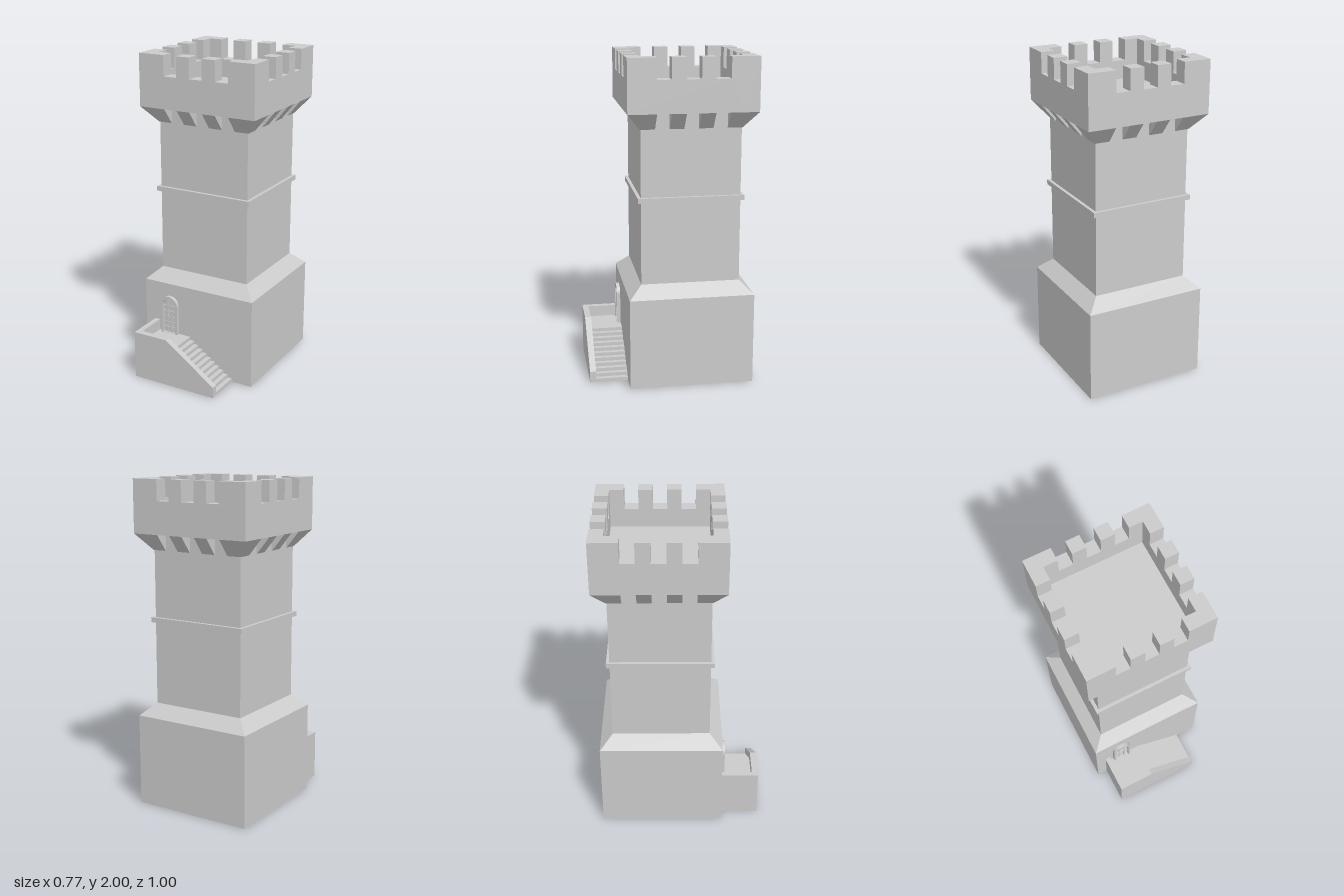
import * as THREE from 'three';

const mat = new THREE.MeshStandardMaterial({ color: 0xcccccc, flatShading: true });
const smoothMat = new THREE.MeshStandardMaterial({ color: 0xcccccc });

function add(parent, name, geometry, material = mat) {
  const mesh = new THREE.Mesh(geometry, material);
  mesh.name = name;
  parent.add(mesh);
  return mesh;
}

// Box between two corners
function block(parent, name, x0, x1, y0, y1, z0, z1) {
  const mesh = add(parent, name, new THREE.BoxGeometry(x1 - x0, y1 - y0, z1 - z0));
  mesh.position.set((x0 + x1) / 2, (y0 + y1) / 2, (z0 + z1) / 2);
  return mesh;
}

// Box whose bottom and top rectangles differ: each is [x0, x1, z0, z1]
function taper(parent, name, y0, y1, bottom, top) {
  const g = new THREE.BoxGeometry(1, 1, 1);
  const p = g.attributes.position;
  for (let i = 0; i < p.count; i++) {
    const upper = p.getY(i) > 0;
    const r = upper ? top : bottom;
    p.setXYZ(i, r[p.getX(i) > 0 ? 1 : 0], upper ? y1 : y0, r[p.getZ(i) > 0 ? 3 : 2]);
  }
  g.computeVertexNormals();
  return add(parent, name, g);
}

function polygon(points) {
  return new THREE.Shape(points.map(([x, y]) => new THREE.Vector2(x, y)));
}

function extrude(shape, depth, curveSegments = 16) {
  return new THREE.ExtrudeGeometry(shape, { depth, bevelEnabled: false, curveSegments });
}

// Round-headed outline standing on y = y0
function archPath(path, r, y0, ySpring) {
  path.moveTo(-r, y0);
  path.lineTo(r, y0);
  path.lineTo(r, ySpring);
  path.absarc(0, ySpring, r, 0, Math.PI, false);
  path.lineTo(-r, y0);
  return path;
}

const S = 0.3;    // half width of shaft
const B = 0.38;   // half width of base
const C = 0.385;  // half width of crown

function buildTower() {
  const tower = new THREE.Group();
  tower.name = 'tower';
  block(tower, 'base', -B, B, 0, 0.565, -B, B);
  taper(tower, 'baseSlope', 0.565, 0.64, [-B, B, -B, B], [-S, S, -S, S]);
  block(tower, 'shaft', -S, S, 0.64, 1.76, -S, S);
  block(tower, 'stringCourse', -0.32, 0.32, 1.145, 1.175, -0.32, 0.32);

  // One crown side, repeated around the axis so the walls interlock at the corners
  const low = 1.875, high = 2;
  const notches = [[-0.215, -0.129], [-0.043, 0.043], [0.129, 0.215]];
  const outline = [[-C, 1.68], [S, 1.68], [S, high]];
  for (const [a, b] of [...notches].reverse()) outline.push([b, high], [b, low], [a, low], [a, high]);
  outline.push([-C, high]);
  const wallGeometry = extrude(polygon(outline), C - S);

  for (let k = 0; k < 4; k++) {
    const side = new THREE.Group();
    side.name = 'crownSide';
    side.rotation.y = k * Math.PI / 2;
    tower.add(side);
    add(side, 'battlement', wallGeometry).position.z = S;
    // Sloped brackets under the overhang, beneath each merlon
    for (const x of [-0.129, 0.043]) {
      taper(side, 'corbel', 1.58, 1.68,
        [x, x + 0.086, S - 0.02, S + 0.004], [x, x + 0.086, S - 0.02, C]);
    }
    taper(side, 'cornerCorbel', 1.58, 1.68,
      [0.215, S + 0.004, 0.215, S + 0.004], [0.215, C, 0.215, C]);
  }
  return tower;
}

function buildStairs() {
  const stairs = new THREE.Group();
  stairs.name = 'stairs';
  const back = 0.255, inner = 0.462, front = 0.5, landing = 0.235;
  block(stairs, 'landing', -0.28, -0.055, 0, landing, back, inner);
  const steps = 10, run = 0.03;
  for (let i = 0; i < steps; i++) {
    const x = -0.055 + i * run;
    block(stairs, 'step', x, x + run, 0, landing * (steps - i) / (steps + 1), back, inner);
  }
  // Parapets: sloping front wall and straight end wall
  const slope = polygon([[-0.315, 0], [0.245, 0], [0.245, 0.07], [-0.085, 0.305], [-0.315, 0.305]]);
  add(stairs, 'frontParapet', extrude(slope, front - inner)).position.z = inner;
  block(stairs, 'endParapet', -0.315, -0.28, 0, 0.305, back, inner);
  return stairs;
}

function buildDoor() {
  const door = new THREE.Group();
  door.name = 'door';
  door.position.set(-0.198, 0, 0.26);
  const foot = 0.235, spring = 0.425;
  const frame = archPath(new THREE.Shape(), 0.06, foot, spring);
  frame.holes.push(archPath(new THREE.Path(), 0.045, foot + 0.002, spring));
  add(door, 'doorFrame', extrude(frame, 0.027), smoothMat);
  add(door, 'doorPanel', extrude(archPath(new THREE.Shape(), 0.046, foot, spring), 0.009), smoothMat);
  // Lattice of bars over the panel
  for (const x of [-0.016, 0.016]) {
    block(door, 'uprightBar', x - 0.004, x + 0.004, foot, spring + 0.04, 0.005, 0.016);
  }
  for (let i = 1; i <= 5; i++) {
    const y = foot + i * 0.036;
    block(door, 'crossBar', -0.045, 0.045, y - 0.004, y + 0.004, 0.005, 0.014);
  }
  return door;
}

export function createModel() {
  const model = new THREE.Group();
  model.name = 'watchtower';
  const tower = buildTower();
  tower.position.z = -0.115;
  model.add(tower, buildStairs(), buildDoor());
  return model;
}
